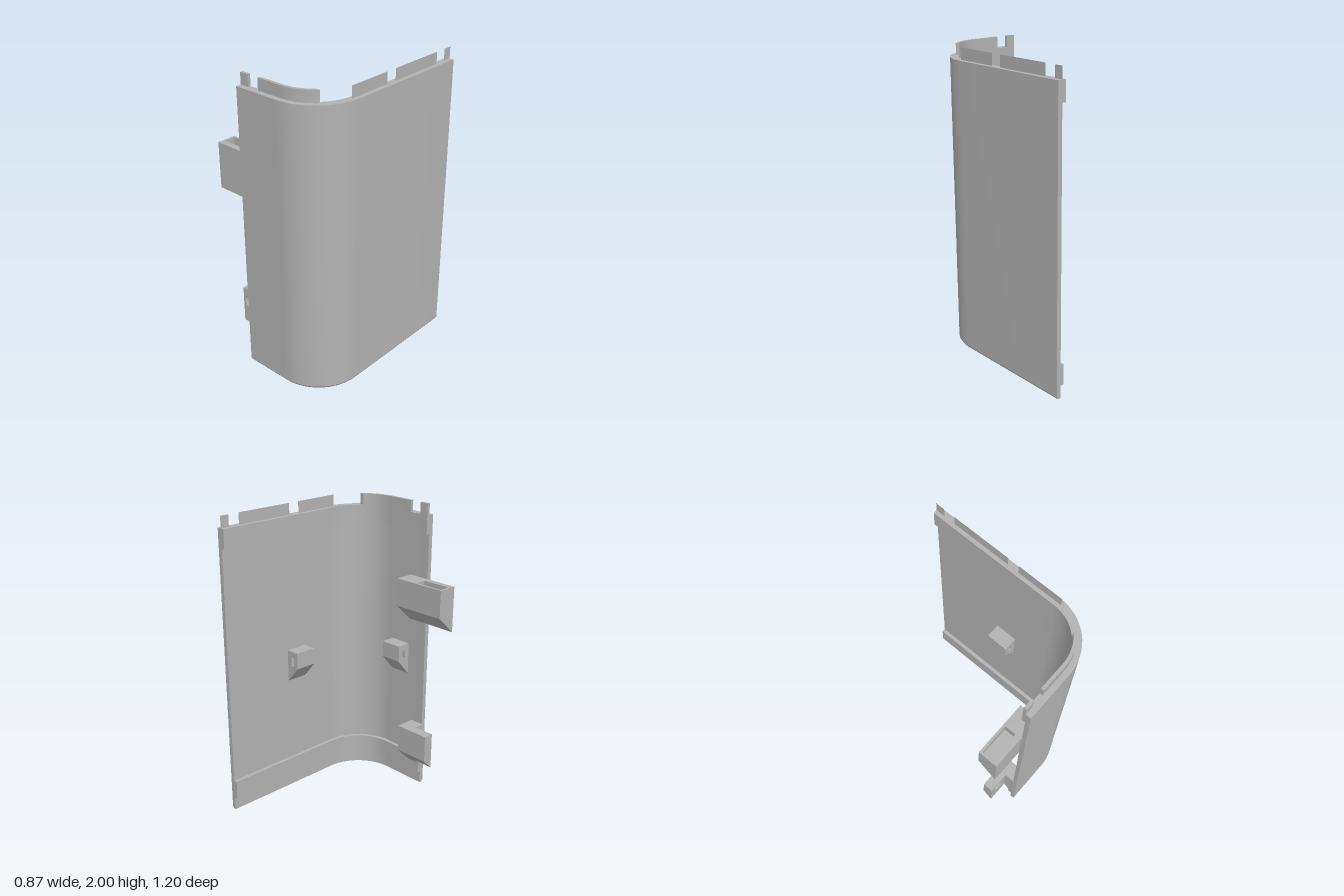
import * as THREE from 'three';
import { toCreasedNormals } from 'three/addons/utils/BufferGeometryUtils.js';

const R = 0.32, CX = 0.11, CZ = 0.28, X0 = -0.21, Z0 = -0.6;
const THIN = 0.03, FULL = 0.055, TOP = 1.925;

// Plan line of the bent wall [x, z], inset from the outer face by o
function path(o, x0, zEnd) {
  const r = R - o, pts = [[x0, CZ + r]];
  const a1 = zEnd > CZ ? Math.asin((zEnd - CZ) / r) : 0;
  for (let i = 0; i <= 20; i++) {
    const a = Math.PI / 2 + (a1 - Math.PI / 2) * i / 20;
    pts.push([CX + r * Math.cos(a), CZ + r * Math.sin(a)]);
  }
  if (zEnd < CZ) pts.push([CX + r, zEnd]);
  return pts;
}

const toShape = pts => new THREE.Shape(pts.map(([x, y]) => new THREE.Vector2(x, y)));

// Raise a plan outline [x, z] from y0 to y1
function raise(pts, y0, y1, hole) {
  const flip = p => p.map(([x, z]) => [x, -z]);
  const shape = toShape(flip(pts));
  if (hole) shape.holes.push(toShape(flip(hole)));
  const g = new THREE.ExtrudeGeometry(shape, { depth: y1 - y0, bevelEnabled: false });
  return g.rotateX(-Math.PI / 2).translate(0, y0, 0);
}

const strip = (o0, o1, y0, y1, x0 = X0, zEnd = Z0) =>
  raise([...path(o0, x0, zEnd), ...path(o1, x0, zEnd).reverse()], y0, y1);

const rect = (xa, xb, za, zb) => [[xa, za], [xb, za], [xb, zb], [xa, zb]];

export function createModel() {
  const model = new THREE.Group();
  const grey = new THREE.MeshStandardMaterial({ color: 0xb2b2b2, side: THREE.DoubleSide });
  grey.name = 'grey plastic';
  const add = (name, g, parent = model) => {
    const m = new THREE.Mesh(toCreasedNormals(g, 0.5), grey);
    m.name = name;
    parent.add(m);
    return m;
  };

  // Thin outer wall with stiffening bands inside
  add('wall', strip(0, THIN, 0.015, TOP));
  add('topBand', strip(THIN, FULL, 1.8, TOP));
  add('bottomBand', strip(THIN, FULL, 0.085, 0.22));

  // Chamfered foot: pull the outer bottom edge inwards
  const foot = strip(0, THIN, 0, 0.015), p = foot.attributes.position;
  for (let i = 0; i < p.count; i++) {
    if (p.getY(i) > 0.005) continue;
    const x = p.getX(i), z = p.getZ(i);
    const dx = Math.max(0, x - CX), dz = Math.max(0, z - CZ), d = Math.hypot(dx, dz);
    if (d < R - 0.005) continue;
    p.setX(i, x - 0.01 * dx / d);
    p.setZ(i, z - 0.01 * dz / d);
  }
  add('foot', foot);

  // Tabs along the top: solid ones at the front, sheets along the side
  add('cornerTab', strip(THIN + 0.005, FULL, TOP, 2, -0.07, 0.475));
  add('endTab', raise(rect(X0, -0.15, 0.545, 0.565), TOP, 2));
  for (const [za, zb] of [[0.31, 0.005], [-0.07, -0.465], [-0.54, -0.6]]) {
    add('sideTab', new THREE.PlaneGeometry(za - zb, 2 - TOP)
      .rotateY(Math.PI / 2).translate(0.4, (2 + TOP) / 2, (za + zb) / 2));
  }

  // Profile [distance from wall, y] swept along the wall
  const sweep = (pts, length, hole) => {
    const s = toShape(pts);
    if (hole) s.holes.push(toShape(hole));
    return new THREE.ExtrudeGeometry(s, { depth: length, bevelEnabled: false });
  };
  const onFront = (g, x) => g.rotateY(Math.PI / 2).translate(x, 0, 0.57);

  // Small wedge clips with a slot through them
  const wedge = () => sweep([[0, 0.8], [0.095, 0.91], [0.095, 1.02], [0, 1.02]], 0.15,
    [[0.035, 0.92], [0.06, 0.92], [0.06, 0.98], [0.035, 0.98]]);
  add('frontClip', onFront(wedge(), -0.065));
  add('sideClip', wedge().rotateY(Math.PI).translate(0.4, 0, 0.04));

  // Upper bracket with a slotted top
  const upper = new THREE.Group();
  upper.name = 'upperBracket';
  model.add(upper);
  add('bracketBody', onFront(sweep([[0, 1.2], [0.13, 1.32], [0.13, 1.44], [0, 1.44]], 0.37), -0.435), upper);
  add('bracketRim', raise(rect(-0.435, -0.065, 0.44, 0.57), 1.44, 1.505,
    rect(-0.42, -0.22, 0.455, 0.53)), upper);

  // Lower bracket: wedge on the wall and an arm with a round socket
  const lower = new THREE.Group();
  lower.name = 'lowerBracket';
  model.add(lower);
  add('bracketWedge', onFront(sweep([[0, 0.14], [0.135, 0.275], [0.135, 0.46], [0, 0.46]], 0.1), -0.215), lower);
  add('bracketArm', onFront(sweep([[0.065, 0.205], [0.135, 0.275], [0.135, 0.46],
    [0.1, 0.46], [0.1, 0.24], [0.065, 0.24]], 0.145), -0.36), lower);
  const plate = toShape([[-0.36, 0.24], [-0.215, 0.24], [-0.215, 0.46], [-0.36, 0.46]]);
  plate.holes.push(new THREE.Path().absarc(-0.295, 0.37, 0.05, 0, Math.PI * 2, true));
  add('socketPlate', new THREE.ExtrudeGeometry(plate, { depth: 0.035, bevelEnabled: false, curveSegments: 24 })
    .translate(0, 0, 0.47), lower);

  // Narrow lips on the free edge beside the brackets
  for (const [y0, y1] of [[0.14, 0.46], [1.33, 1.505]]) {
    add('edgeLip', raise(rect(-0.215, X0, 0.545, 0.578), y0, y1));
  }
  return model;
}
